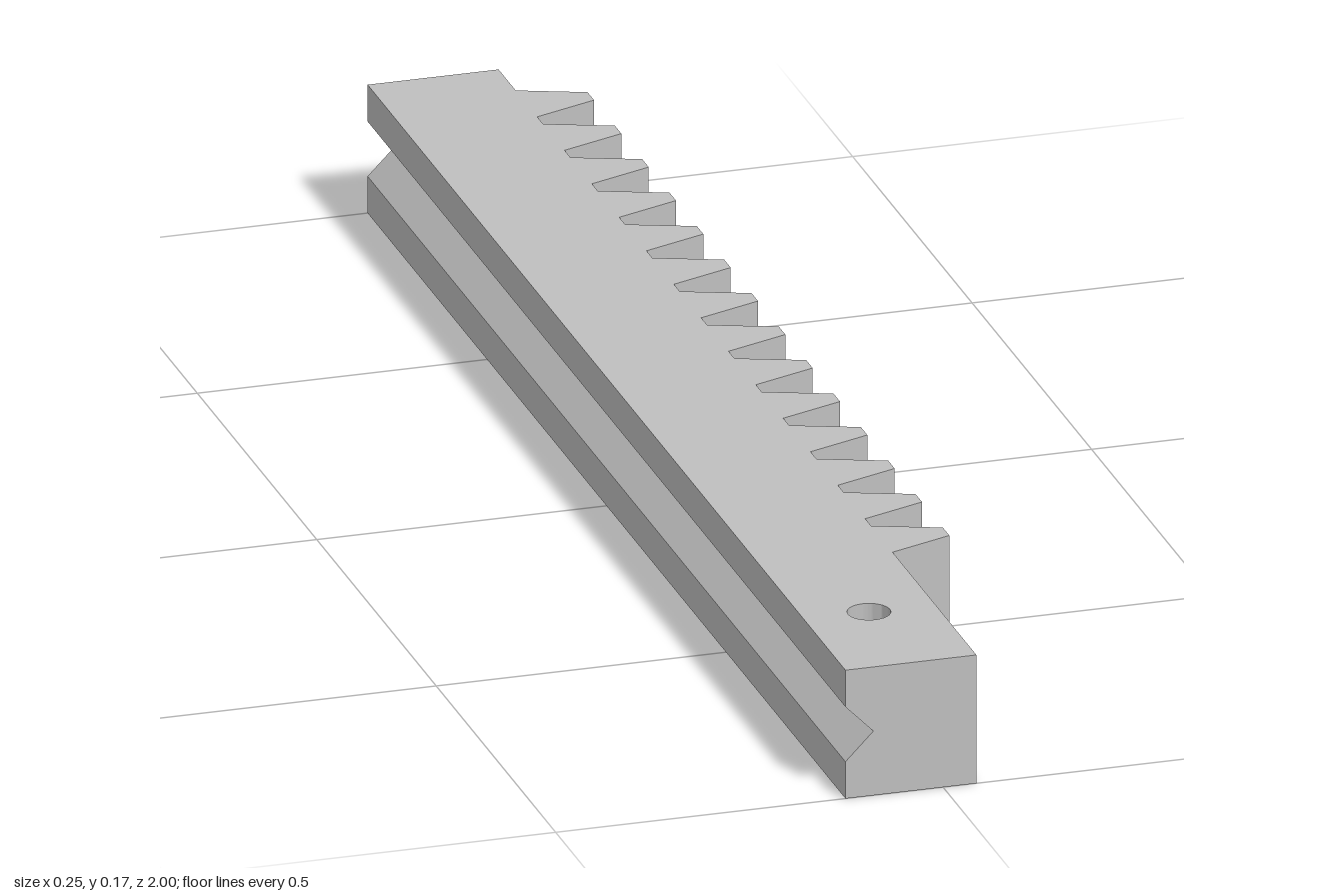
import * as THREE from 'three';
import { toCreasedNormals } from 'three/addons/utils/BufferGeometryUtils.js';

const BACK = -0.126, ROOT = 0.043, TIP = 0.126;   // x of bar back, tooth roots, tooth tips
const TEETH = 14, PITCH = 0.1144, FIRST = -0.604; // tooth spacing along the outline (y = -z)
const LEVELS = [0, 0.049, 0.0855, 0.122, 0.171];  // heights of groove edges and groove bottom
const GROOVE = -0.09;

export function createModel() {
  const steel = new THREE.MeshStandardMaterial({ color: 0xbfbfbf });
  steel.name = 'steel grey';

  // Plan outline: plain bar with a row of tapered teeth on the +x side
  const outline = new THREE.Shape();
  outline.moveTo(BACK, -1);
  outline.lineTo(ROOT, -1);
  for (let i = 0; i < TEETH; i++) {
    const c = FIRST + i * PITCH;
    outline.lineTo(ROOT, c - 0.045);
    outline.lineTo(TIP, c - 0.0135);
    outline.lineTo(TIP, c + 0.0135);
    outline.lineTo(ROOT, c + 0.045);
  }
  outline.lineTo(ROOT, 1);
  outline.lineTo(BACK, 1);
  outline.closePath();

  // Mounting hole near the front end
  const hole = new THREE.Path();
  hole.absarc(-0.042, -0.826, 0.027, 0, Math.PI * 2, true);
  outline.holes.push(hole);

  const geometry = new THREE.ExtrudeGeometry(outline, {
    depth: 4, steps: 4, bevelEnabled: false, curveSegments: 32,
  });
  geometry.rotateX(-Math.PI / 2);

  // Set the layer heights and push the middle of the back face in as a V groove
  const p = geometry.attributes.position;
  for (let i = 0; i < p.count; i++) {
    const level = Math.round(p.getY(i));
    p.setY(i, LEVELS[level]);
    if (level === 2 && p.getX(i) < BACK + 0.001) p.setX(i, GROOVE);
  }

  const rack = new THREE.Mesh(toCreasedNormals(geometry, 0.4), steel);
  rack.name = 'gearRack';
  const group = new THREE.Group();
  group.name = 'toothedRack';
  group.add(rack);
  return group;
}
